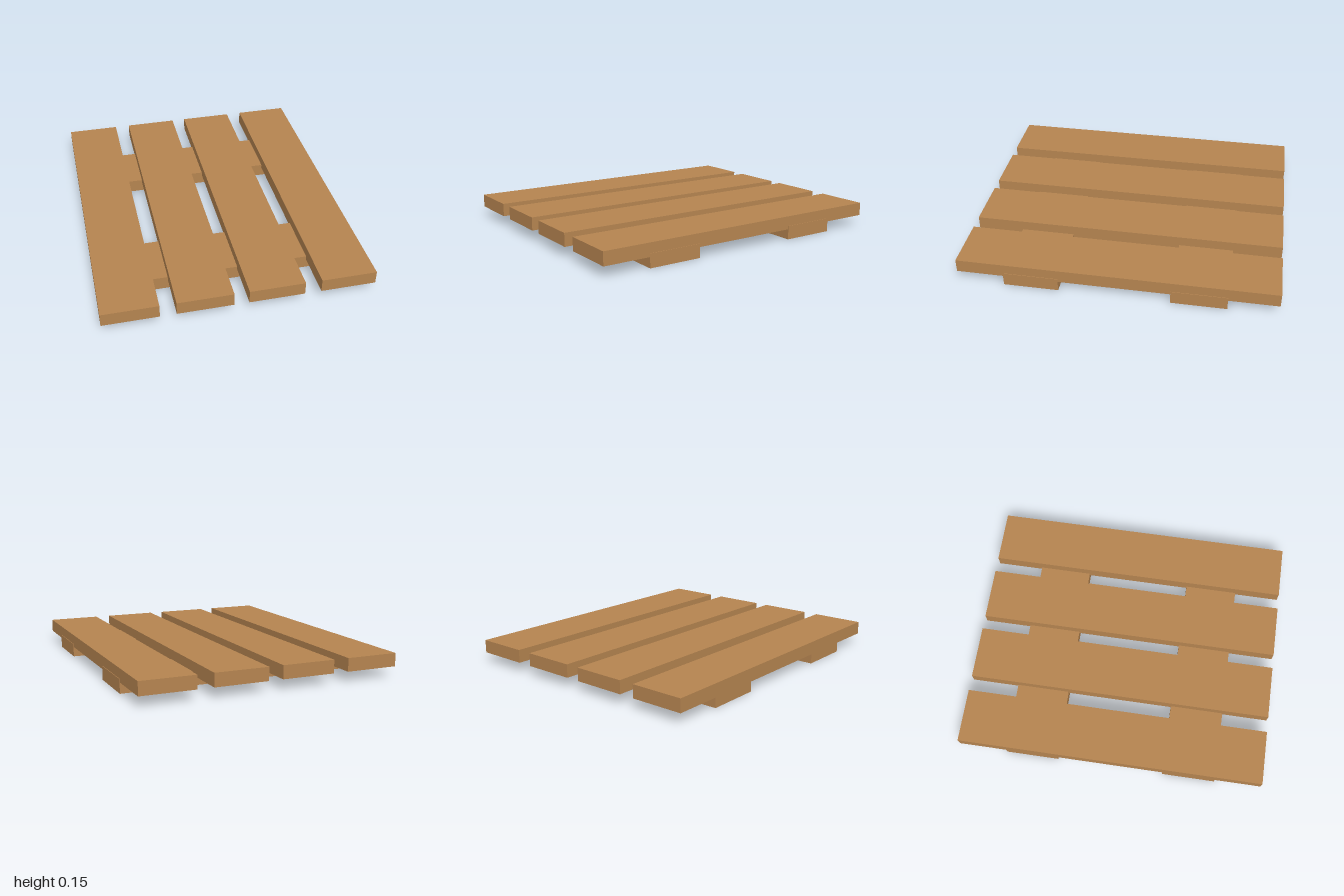
import * as THREE from 'three';

export function createModel() {
  const model = new THREE.Group();
  model.name = 'woodenPallet';

  const wood = new THREE.MeshStandardMaterial({ color: 0xb58450 });
  wood.name = 'wood';

  const BOARD_WIDTH = 0.347;

  function addBoard(name, size, position) {
    const mesh = new THREE.Mesh(new THREE.BoxGeometry(...size), wood);
    mesh.name = name;
    mesh.position.set(...position);
    model.add(mesh);
  }

  // Four deck planks running front to back, slightly unevenly spaced
  [-0.6715, -0.224, 0.216, 0.666].forEach((x, i) => {
    addBoard(`deckPlank${i + 1}`, [BOARD_WIDTH, 0.085, 2], [x, 0.1075, 0]);
  });

  // Two cross battens underneath, let into the planks
  addBoard('frontBatten', [1.686, 0.087, BOARD_WIDTH], [0, 0.0435, 0.528]);
  addBoard('backBatten', [1.686, 0.087, BOARD_WIDTH], [0, 0.0435, -0.516]);

  return model;
}
